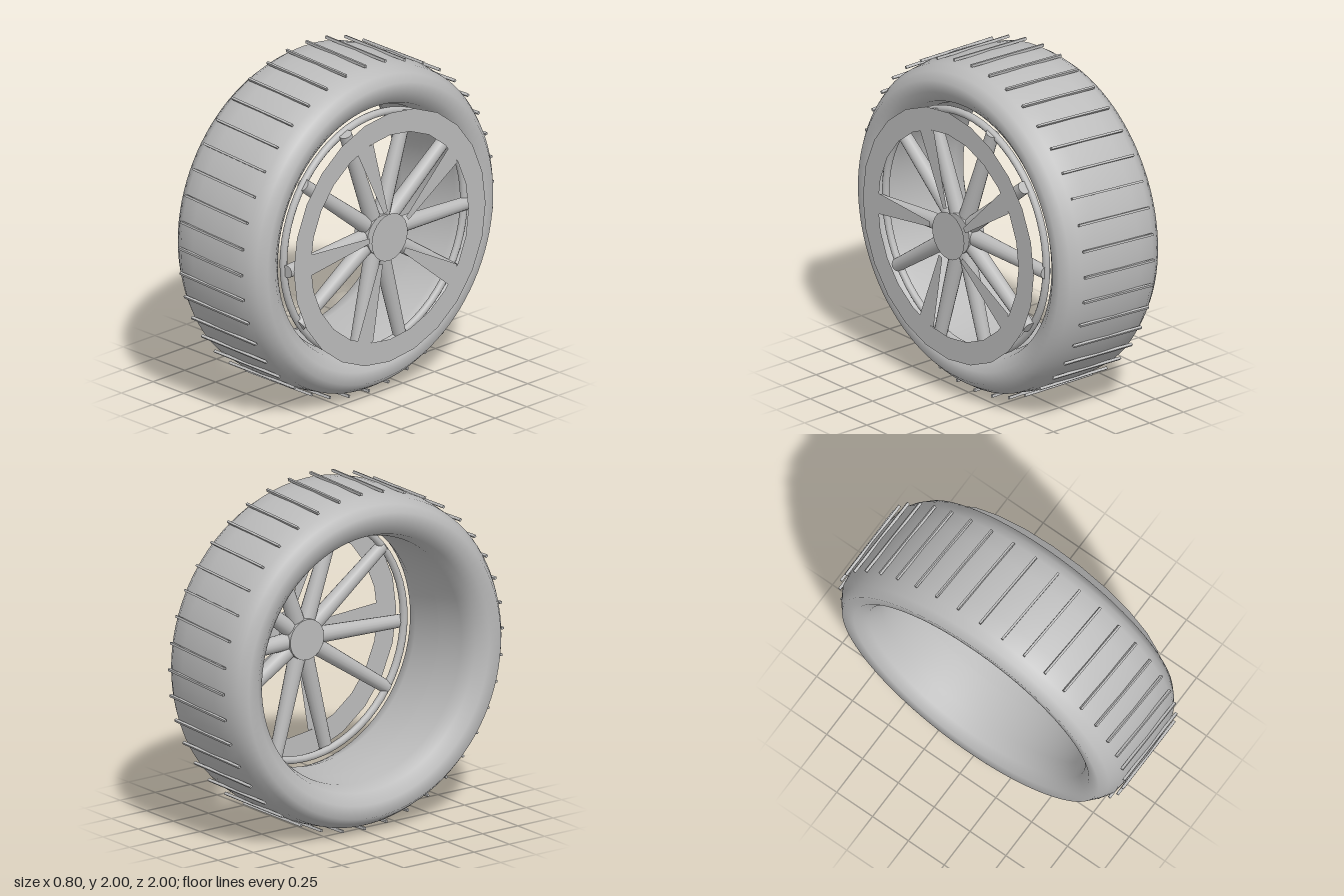
import * as THREE from 'three';

// the cover plates are open sheets, so both sides are drawn
const grey = new THREE.MeshStandardMaterial({ color: 0xbcbcbc, side: THREE.DoubleSide });
grey.name = 'grey';

const COVER = 0.4; // axle position of the flat cover

function add(parent, name, geometry) {
  const mesh = new THREE.Mesh(geometry, grey);
  mesh.name = name;
  parent.add(mesh);
  return mesh;
}

// regular polygon outline with a corner at the top
function polygon(path, radius, sides) {
  for (let i = 0; i < sides; i++) {
    const a = Math.PI / 2 + (i / sides) * Math.PI * 2;
    path[i ? 'lineTo' : 'moveTo'](radius * Math.cos(a), radius * Math.sin(a));
  }
  path.closePath();
  return path;
}

// tapered round rod along local x, from the hub to the rim lip
function rod(innerRadius, outerRadius, tilt, z) {
  const geometry = new THREE.CylinderGeometry(outerRadius, innerRadius, 0.64, 16);
  return geometry.rotateZ(-Math.PI / 2).rotateY(tilt).translate(0.4, 0, z);
}

export function createModel() {
  const model = new THREE.Group();
  model.name = 'wheelModel';

  // local z is the axle and points to the wheel's outer face (+x)
  const wheel = new THREE.Group();
  wheel.name = 'wheel';
  wheel.rotation.y = Math.PI / 2;
  wheel.position.y = 1;
  model.add(wheel);

  // tyre: closed rounded section (radius, axle position)
  const section = [
    [0.725, -0.04], [0.727, -0.25], [0.757, -0.34], [0.82, -0.39], [0.895, -0.4],
    [0.934, -0.352], [0.967, -0.3], [0.984, -0.19], [0.989, -0.04], [0.984, 0.11],
    [0.967, 0.225], [0.934, 0.278], [0.89, 0.325], [0.82, 0.317], [0.757, 0.27],
    [0.727, 0.18], [0.725, -0.04],
  ].map(([r, z]) => new THREE.Vector2(r, z));
  add(wheel, 'tyre', new THREE.LatheGeometry(section, 96).rotateX(Math.PI / 2));

  // thin, slightly skewed tread ribs
  const ribGeometry = new THREE.BoxGeometry(0.013, 0.016, 0.51);
  ribGeometry.rotateY(-0.05).translate(0, 0.992, -0.035);
  for (let i = 0; i < 40; i++) {
    add(wheel, 'treadRib', ribGeometry).rotation.z = (i / 40) * Math.PI * 2;
  }

  // inner rim lip that carries the rods
  add(wheel, 'rimLip', new THREE.TorusGeometry(0.712, 0.022, 10, 64)).position.z = 0.27;

  // flat cover ring and hub cap
  const ring = polygon(new THREE.Shape(), 0.757, 24);
  ring.holes.push(polygon(new THREE.Path(), 0.622, 24));
  add(wheel, 'coverRing', new THREE.ShapeGeometry(ring)).position.z = COVER;
  add(wheel, 'hubCap', new THREE.CircleGeometry(0.142, 24)).position.z = COVER;

  // flat wedge spoke, narrowing toward the hub
  const wedgeGeometry = new THREE.ShapeGeometry(new THREE.Shape([
    [0.16, -0.036], [0.615, -0.064], [0.625, 0], [0.615, 0.062], [0.16, -0.004],
  ].map(([x, y]) => new THREE.Vector2(x, y))));

  // one rod stands behind each wedge, one between each pair of wedges
  const backRod = rod(0.05, 0.038, -0.02, 0.3);
  const openRod = rod(0.05, 0.038, 0.02, 0.285);
  const deg = Math.PI / 180;
  for (let i = 0; i < 5; i++) {
    const turn = i * 72;
    const spoke = add(wheel, 'wedgeSpoke', wedgeGeometry);
    spoke.rotation.z = (36 + turn) * deg;
    spoke.position.z = COVER;
    add(wheel, 'rodSpoke', backRod).rotation.z = (39 + turn) * deg;
    add(wheel, 'rodSpoke', openRod).rotation.z = (70 + turn) * deg;
  }

  // hub core where the rods meet
  const hubGeometry = new THREE.CylinderGeometry(0.12, 0.12, 0.11, 24).rotateX(Math.PI / 2);
  add(wheel, 'hubCore', hubGeometry).position.z = 0.29;

  return model;
}
